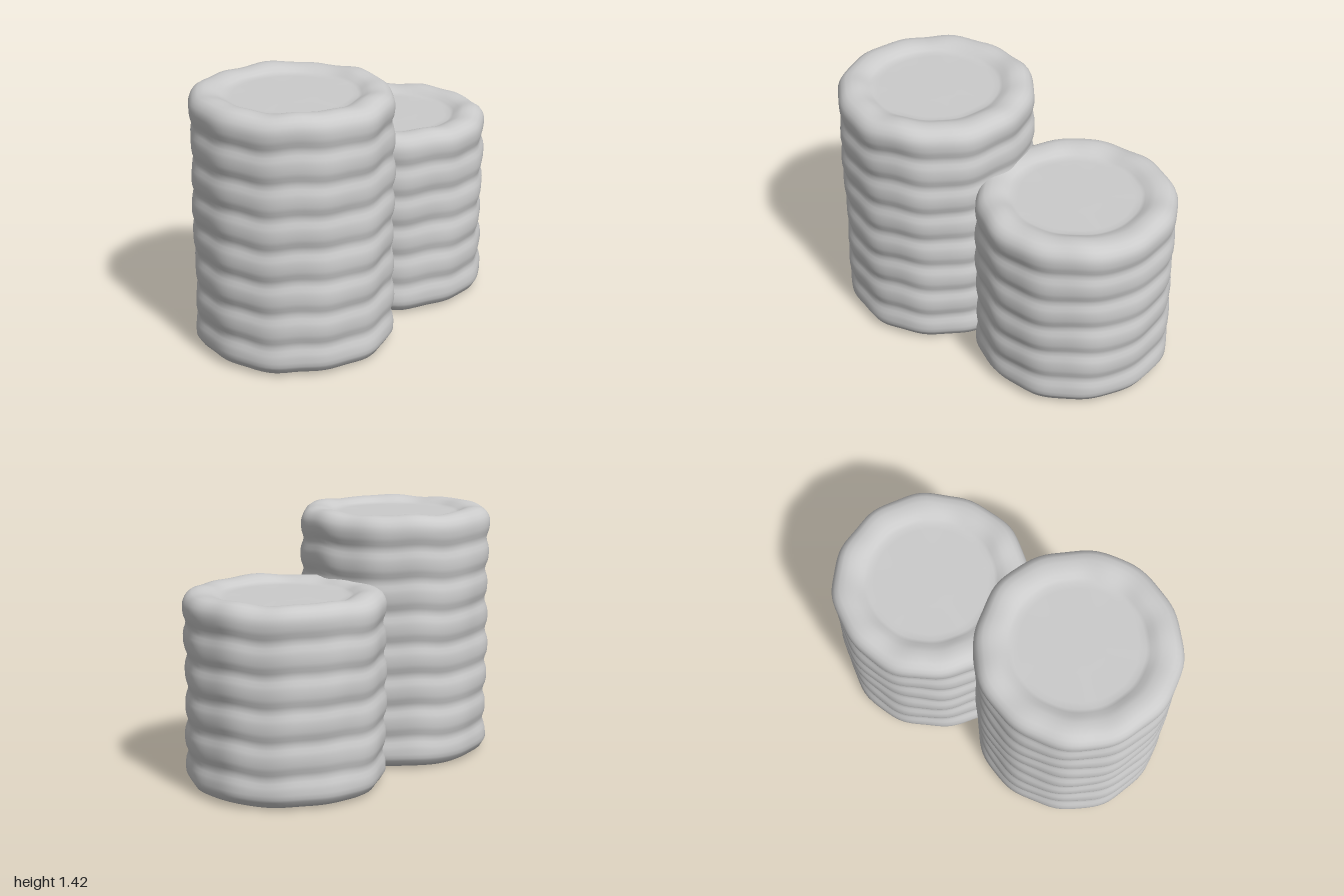
import * as THREE from 'three';
import { mergeVertices } from 'three/addons/utils/BufferGeometryUtils.js';

const R = 0.538;
const COIN = 0.177;

// Lathe profile of a worn pile of coins, from the base centre up to the dished top
function pileProfile(coins) {
  const h = coins * COIN;
  const pts = [[0, 0.01], [0.25, 0.01], [0.44, 0.008], [0.485, 0.01], [0.512, 0.025], [0.528, 0.05]];
  const steps = coins * 8;
  for (let i = 3; i <= steps - 3; i++) {
    const y = (i / steps) * h;
    const groove = Math.pow(Math.abs(Math.cos((Math.PI * y) / COIN)), 4);
    pts.push([R - 0.017 * groove, y]);
  }
  // rounded rim, then the sunken face
  pts.push([0.53, h - 0.045], [0.515, h - 0.022], [0.49, h - 0.006], [0.455, h], [0.42, h - 0.003],
    [0.39, h - 0.012], [0.365, h - 0.028], [0.345, h - 0.036], [0.31, h - 0.038], [0.15, h - 0.037], [0, h - 0.037]);
  return pts.map(([x, y]) => new THREE.Vector2(x, y));
}

function coinPile(name, coins, x, z, phase, material) {
  let geo = new THREE.LatheGeometry(pileProfile(coins), 96);
  geo.deleteAttribute('uv');
  geo.deleteAttribute('normal');
  const pos = geo.attributes.position;
  const h = coins * COIN;

  // Gentle dents around the wall and a wavy rim
  for (let i = 0; i < pos.count; i++) {
    const px = pos.getX(i), py = pos.getY(i), pz = pos.getZ(i);
    const r = Math.hypot(px, pz);
    const a = Math.atan2(pz, px);
    const edge = THREE.MathUtils.smoothstep(r, 0.3, 0.45);
    const dent = 0.004 * Math.sin(5 * a + phase + 9 * py) + 0.004 * Math.sin(12 * a + 2 * phase);
    const s = r > 0 ? 1 + (edge * dent) / r : 1;
    const wave = 0.005 * Math.sin(6 * a + phase) + 0.003 * Math.sin(11 * a - phase);
    const drift = edge * (py > h - 0.1 ? wave - 0.003 : py < 0.1 ? 0.6 * wave : 1.2 * wave);
    pos.setXYZ(i, px * s, Math.max(0, py + drift), pz * s);
  }
  geo = mergeVertices(geo, 1e-4);
  geo.computeVertexNormals();

  const mesh = new THREE.Mesh(geo, material);
  mesh.name = name;
  mesh.position.set(x, 0, z);
  return mesh;
}

export function createModel() {
  const group = new THREE.Group();
  group.name = 'coinStacks';
  const material = new THREE.MeshStandardMaterial({ color: 0xcccccc });
  group.add(
    coinPile('tallCoinStack', 8, -0.462, 0.01, 0.4, material),
    coinPile('shortCoinStack', 6, 0.46, -0.015, 2.1, material)
  );
  return group;
}
